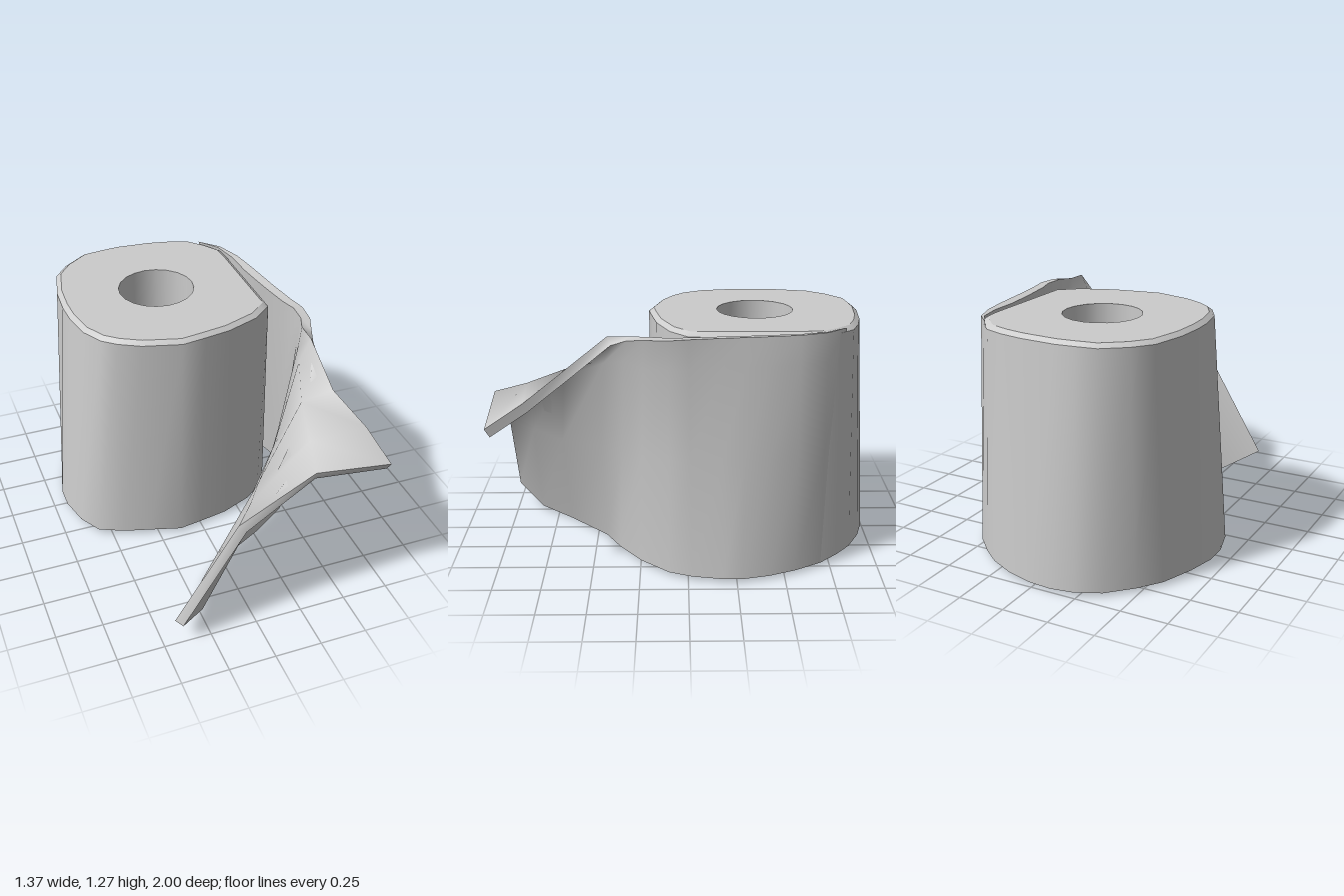
import * as THREE from 'three';

const BASE = 0.02, TOP = 1.26, BEVEL = 1.24;
const HOLE = { x: -0.06, z: -0.365, r: 0.205 };

// Body outline seen from above: bottom x, z and top x, z
const OUTLINE = [
  [-0.11, -1.0, -0.12, -0.925], [0.02, -0.99, 0.08, -0.91], [0.16, -0.95, 0.2, -0.885],
  [0.3, -0.88, 0.31, -0.845], [0.4, -0.8, 0.38, -0.77], [0.5, -0.7, 0.44, -0.68],
  [0.55, -0.55, 0.445, -0.58], [0.56, -0.4, 0.445, -0.4], [0.54, -0.22, 0.445, -0.2],
  [0.5, -0.09, 0.445, 0.0], [0.42, 0.02, 0.41, 0.03], [0.33, 0.09, 0.34, 0.09],
  [0.16, 0.16, 0.16, 0.16], [0, 0.19, 0.02, 0.185], [-0.13, 0.21, -0.11, 0.205],
  [-0.3, 0.16, -0.31, 0.15], [-0.44, 0.12, -0.42, 0.09], [-0.57, 0.06, -0.49, 0.03],
  [-0.64, -0.06, -0.55, -0.08], [-0.68, -0.22, -0.58, -0.24], [-0.68, -0.34, -0.585, -0.36],
  [-0.64, -0.5, -0.575, -0.52], [-0.57, -0.68, -0.53, -0.71], [-0.48, -0.8, -0.45, -0.81],
  [-0.36, -0.92, -0.33, -0.9], [-0.23, -0.98, -0.22, -0.915],
];

// Loose sheet, columns from the roll to the free end; outer points from bottom to top
const SHEET = [
  [[0.38, 0.02, -0.81], [0.35, 1.26, -0.8]],
  [[0.5, 0.02, -0.7], [0.445, 1.26, -0.7]],
  [[0.585, 0.02, -0.56], [0.495, 1.26, -0.56]],
  [[0.645, 0.02, -0.42], [0.52, 1.26, -0.4]],
  [[0.68, 0.02, -0.28], [0.535, 1.26, -0.28]],
  [[0.68, 0.02, -0.18], [0.55, 1.26, -0.16]],
  [[0.65, 0.02, -0.02], [0.575, 1.26, 0.0]],
  [[0.6, 0.02, 0.1], [0.597, 1.26, 0.1]],
  [[0.46, 0.02, 0.25], [0.585, 1.26, 0.22]],
  [[0.27, 0.01, 0.37], [0.43, 0.63, 0.34], [0.53, 1.14, 0.32], [0.555, 1.25, 0.3]],
  [[0.12, 0.01, 0.45], [0.36, 0.63, 0.45], [0.49, 1.12, 0.42], [0.53, 1.22, 0.38]],
  [[-0.13, 0, 0.67], [0.18, 0.6, 0.67], [0.4, 1.02, 0.63], [0.53, 1.04, 0.6]],
  [[-0.24, 0.03, 0.85], [0.06, 0.62, 0.84], [0.34, 0.92, 0.82], [0.63, 0.91, 0.79]],
  [[-0.4, 0.11, 1.0], [-0.07, 0.63, 0.99], [0.28, 0.86, 0.985], [0.68, 0.8, 0.97]],
];

// Skin over columns of points, each column running from bottom to top
function skin(columns, closed = false) {
  const n = columns.length, rows = columns[0].length, index = [];
  for (let i = 0; i < (closed ? n : n - 1); i++) {
    for (let j = 0; j < rows - 1; j++) {
      const a = i * rows + j, b = ((i + 1) % n) * rows + j;
      index.push(a, a + 1, b, b, a + 1, b + 1);
    }
  }
  const geo = new THREE.BufferGeometry().setFromPoints(columns.flat());
  geo.setIndex(index);
  geo.computeVertexNormals();
  return geo;
}

// Flat end of the roll with the core hole cut out
function endCap(points, y, up) {
  const s = up ? -1 : 1;
  const shape = new THREE.Shape(points.map(p => new THREE.Vector2(p.x, s * p.z)));
  const hole = [];
  for (let i = 0; i < 20; i++) {
    const a = (i / 20) * Math.PI * 2;
    hole.push(new THREE.Vector2(HOLE.x + HOLE.r * Math.sin(a), s * (HOLE.z + HOLE.r * Math.cos(a))));
  }
  shape.holes.push(new THREE.Path(hole));
  return new THREE.ShapeGeometry(shape).rotateX(s * Math.PI / 2).translate(0, y, 0);
}

export function createModel() {
  const model = new THREE.Group();
  const material = new THREE.MeshStandardMaterial({ color: 0xcccccc });
  const thin = new THREE.MeshStandardMaterial({ color: 0xcccccc, side: THREE.DoubleSide });
  const add = (parent, name, geo, mat = material) => {
    const mesh = new THREE.Mesh(geo, mat);
    mesh.name = name;
    parent.add(mesh);
  };

  // Roll body: tapered wall, bevelled upper edge, two ends and the core
  const roll = new THREE.Group();
  roll.name = 'roll';
  const bottom = OUTLINE.map(([x, z]) => new THREE.Vector3(x, BASE, z));
  const shoulder = OUTLINE.map(([, , x, z]) => new THREE.Vector3(x, BEVEL, z));
  const rim = shoulder.map(p => new THREE.Vector3(
    -0.07 + (p.x + 0.07) * 0.95, TOP, -0.36 + (p.z + 0.36) * 0.955));
  add(roll, 'rollWall', skin(bottom.map((p, i) => [p, shoulder[i]]), true));
  add(roll, 'rollBevel', skin(shoulder.map((p, i) => [p, rim[i]]), true));
  add(roll, 'rollTop', endCap(rim, TOP, true));
  add(roll, 'rollBottom', endCap(bottom, BASE, false));
  const core = new THREE.CylinderGeometry(HOLE.r, HOLE.r, TOP - BASE, 20, 1, true);
  core.translate(HOLE.x, (TOP + BASE) / 2, HOLE.z);
  add(roll, 'coreHole', core, thin);
  model.add(roll);

  // Loose sheet: outer skin, inner skin offset along the normals, and closed edges
  const sheet = new THREE.Group();
  sheet.name = 'looseSheet';
  const outer = SHEET.map(column => {
    const p = column.map(c => new THREE.Vector3(...c));
    return p.length === 4 ? p
      : [p[0], p[0].clone().lerp(p[1], 0.5), p[0].clone().lerp(p[1], 0.88), p[1]];
  });
  const outerGeo = skin(outer);
  const normals = outerGeo.attributes.normal;
  const inner = outer.map((column, i) => column.map((p, j) => {
    const normal = new THREE.Vector3().fromBufferAttribute(normals, i * 4 + j);
    return p.clone().addScaledVector(normal, -0.05 * Math.min(1, i / 3));
  }));
  const last = outer.length - 1;
  add(sheet, 'sheetOuterFace', outerGeo, thin);
  add(sheet, 'sheetInnerFace', skin([...inner].reverse()), thin);
  add(sheet, 'sheetBottomEdge', skin(outer.map((c, i) => [inner[i][0], c[0]])), thin);
  add(sheet, 'sheetTopEdge', skin(outer.map((c, i) => [c[3], inner[i][3]])), thin);
  add(sheet, 'sheetFreeEnd', skin(outer[last].map((p, j) => [inner[last][j], p])), thin);
  model.add(sheet);

  return model;
}
